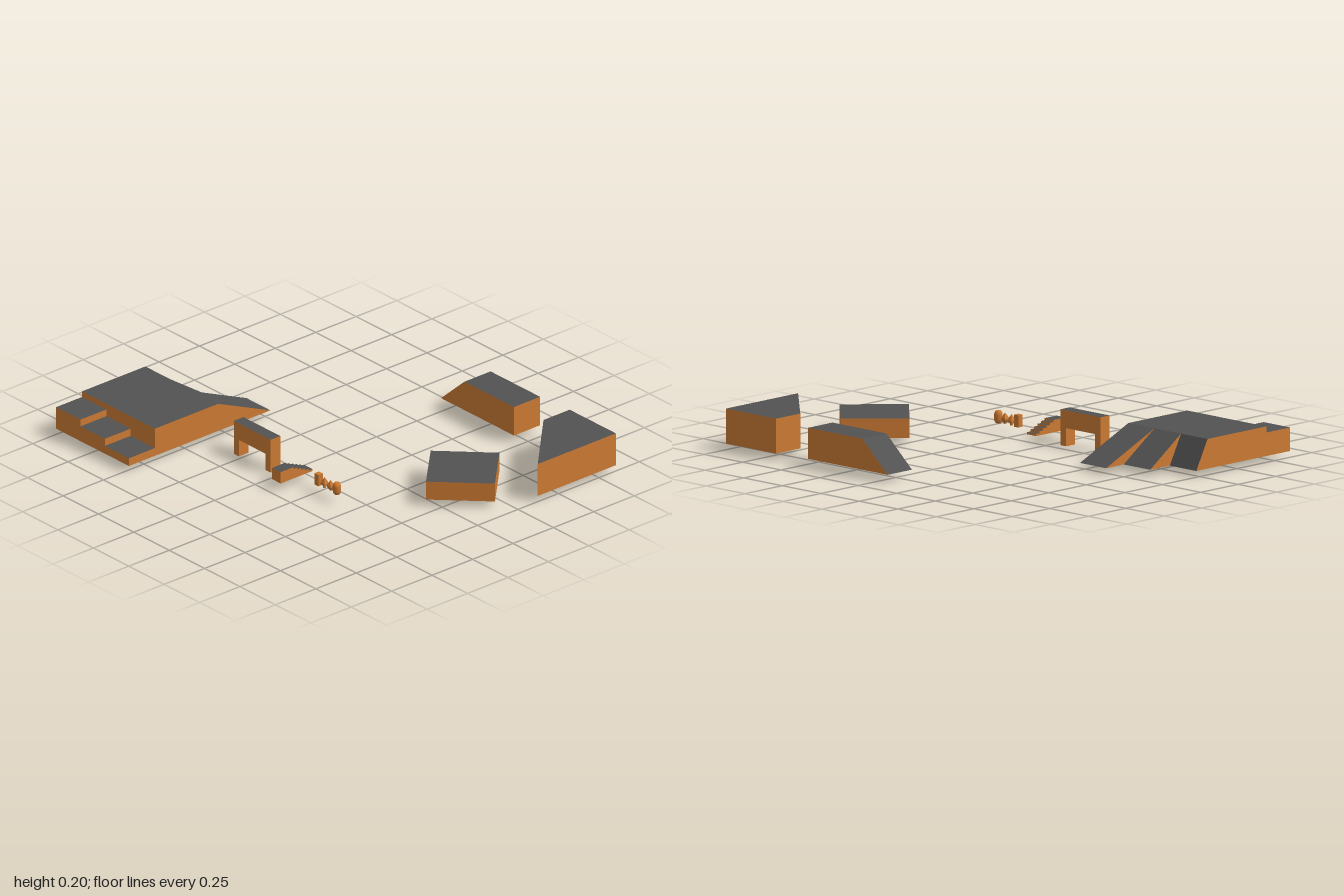
import * as THREE from 'three';

const orange = new THREE.MeshStandardMaterial({ color: 0xcc7a33 });
orange.name = 'orange sides';
const grey = new THREE.MeshStandardMaterial({ color: 0x525252 });
grey.name = 'dark grey surfaces';

// Walls take the first material, every level or sloping face the second
function splitByTilt(geometry) {
  const geo = geometry.index ? geometry.toNonIndexed() : geometry;
  geo.computeVertexNormals();
  geo.clearGroups();
  const normal = geo.attributes.normal;
  for (let i = 0; i < normal.count; i += 3) {
    geo.addGroup(i, 3, Math.abs(normal.getY(i)) > 0.3 ? 1 : 0);
  }
  return geo;
}

function extrude(points, depth) {
  const shape = new THREE.Shape(points.map(([a, b]) => new THREE.Vector2(a, b)));
  return new THREE.ExtrudeGeometry(shape, { depth, bevelEnabled: false });
}

function add(parent, name, geometry) {
  const mesh = new THREE.Mesh(splitByTilt(geometry), [orange, grey]);
  mesh.name = name;
  parent.add(mesh);
}

// Profile in (x, y), running from z0 to z1
const alongZ = (pts, z0, z1) => extrude(pts, z1 - z0).translate(0, 0, z0);
// Profile in (z, y), running from x0 to x1
const alongX = (pts, x0, x1) => extrude(pts, x1 - x0).rotateY(-Math.PI / 2).translate(x1, 0, 0);
// Plan in (x, z), running from y0 to y1
const alongY = (pts, y0, y1) =>
  extrude(pts.map(([x, z]) => [x, -z]), y1 - y0).rotateX(-Math.PI / 2).translate(0, y0, 0);

export function createModel() {
  const model = new THREE.Group();
  model.name = 'playground blocks';

  // Platform with three steps in front and three ramps behind
  const platform = new THREE.Group();
  platform.name = 'platform';
  model.add(platform);
  const base = 0.03, deckTop = 0.171, deckBack = 0.303, deckFront = 0.695;
  const columns = [-1, -0.828, -0.656, -0.486];
  const stepTops = [0.142, 0.107, 0.07];
  const rampEnds = [0.228, 0.097, -0.02];
  add(platform, 'deck', alongX(
    [[deckBack, base], [deckFront, base], [deckFront, deckTop], [deckBack, deckTop]],
    columns[0], columns[3]));
  for (let i = 0; i < 3; i++) {
    const x0 = columns[i], x1 = columns[i + 1], top = stepTops[i];
    add(platform, 'frontStep' + (i + 1), alongX(
      [[deckFront, base], [0.855, base], [0.855, top], [deckFront, top]], x0, x1));
    add(platform, 'rearRamp' + (i + 1), alongX(
      [[rampEnds[i], base], [deckBack, base], [deckBack, deckTop]], x0, x1));
  }

  // Doorway arch standing on two feet
  add(model, 'arch', alongZ([
    [-0.305, 0], [-0.269, 0], [-0.269, 0.086], [-0.081, 0.086],
    [-0.081, 0], [-0.045, 0], [-0.045, 0.171], [-0.305, 0.171],
  ], 0.305, 0.365));

  // Small staircase descending towards the back
  const stairs = [[0.45, 0.035], [0.45, 0.094]];
  const tread = 0.0234, rise = 0.0098;
  for (let i = 0; i < 6; i++) {
    const z = 0.37 - i * tread, y = 0.094 - i * rise;
    stairs.push([z, y], [z, i < 5 ? y - rise : 0.035]);
  }
  add(model, 'staircase', alongX(stairs.reverse(), 0.063, 0.123));

  // Rear blocks: ramp block, corner wedge and turned box
  add(model, 'rampBlock', alongZ(
    [[-0.05, 0.036], [0.465, 0.036], [0.465, 0.184], [0.115, 0.184]], -0.855, -0.693));
  add(model, 'cornerWedge', alongY(
    [[0.674, -0.855], [1, -0.855], [1, -0.372], [0.674, -0.693]], 0.03, 0.196));
  add(model, 'turnedBox', alongY(
    [[0.69, -0.407], [0.917, -0.18], [0.69, 0.048], [0.463, -0.18]], 0.033, 0.126));

  // Row of small game pieces: post, two spindles and a barrel
  const pieces = new THREE.Group();
  pieces.name = 'gamePieces';
  model.add(pieces);
  function piece(name, geometry, x) {
    const mesh = new THREE.Mesh(geometry, orange);
    mesh.name = name;
    mesh.position.set(x, 0, 0.33);
    pieces.add(mesh);
  }
  function spindle(profile) {
    const lathe = new THREE.LatheGeometry(
      profile.map(([r, y]) => new THREE.Vector2(r, y)), 4, Math.PI / 4).toNonIndexed();
    lathe.computeVertexNormals();
    return lathe;
  }
  const half = 0.014, corner = half * Math.SQRT2;
  piece('post', new THREE.BoxGeometry(half * 2, 0.058, half * 2).translate(0, 0.069, 0), 0.254);
  piece('stemmedSpindle', spindle(
    [[0, 0.04], [0.007, 0.04], [0.007, 0.051], [corner, 0.056], [corner, 0.066], [0, 0.095]]), 0.297);
  piece('diamondSpindle', spindle(
    [[0, 0.04], [0.005, 0.042], [corner, 0.062], [corner, 0.07], [0, 0.095]]), 0.34);
  const barrel = [[0, 0.039], [0.012, 0.039], [0.018, 0.047], [0.02, 0.058],
    [0.02, 0.08], [0.018, 0.09], [0.012, 0.099], [0, 0.099]];
  piece('barrel', new THREE.LatheGeometry(
    barrel.map(([r, y]) => new THREE.Vector2(r, y)), 16), 0.383);

  return model;
}
